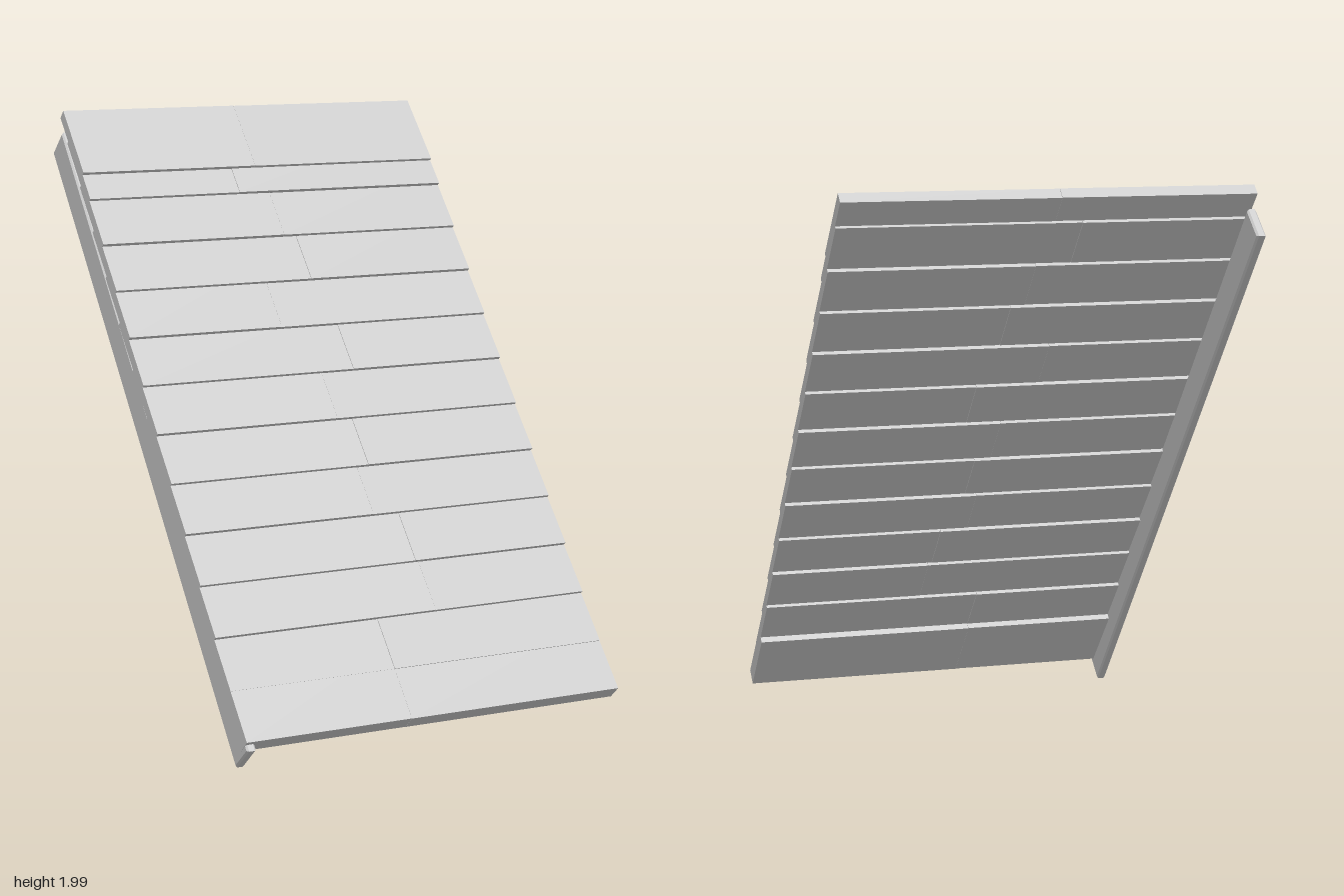
import * as THREE from 'three';

const grey = new THREE.MeshStandardMaterial({ color: 0xcccccc });
grey.name = 'light grey wood';

const LEFT = 0.687, RIGHT = -0.688;
const TILT = THREE.MathUtils.degToRad(47.8);

// One overlapping course: two planks meeting at a butt joint.
// y, z give the upper front edge of the lower end.
function course(index, y, z, joint, length, thickness, tilt = TILT) {
  const group = new THREE.Group();
  group.name = `plankCourse${index}`;
  group.position.set(0, y, z);
  group.rotation.x = -(Math.PI / 2 - tilt);
  [[RIGHT, joint - 0.0005], [joint + 0.0005, LEFT]].forEach(([a, b], side) => {
    const plank = new THREE.Mesh(new THREE.BoxGeometry(b - a, length, thickness), grey);
    plank.name = side ? 'leftPlank' : 'rightPlank';
    plank.position.set((a + b) / 2, length / 2, -thickness / 2 - (side === index % 2 ? 0.001 : 0));
    group.add(plank);
  });
  return group;
}

// Sloping rafter with chamfered edges, under the right-hand edge only
function rafter() {
  const c = 0.006, w = 0.122, l = 2.405, t = 0.032;
  const x = w / 2 - c, y = l / 2 - c;
  const shape = new THREE.Shape([[-x, -y], [x, -y], [x, y], [-x, y]].map(p => new THREE.Vector2(...p)));
  const geometry = new THREE.ExtrudeGeometry(shape, {
    depth: t - 2 * c, bevelEnabled: true, bevelThickness: c, bevelSize: c, bevelSegments: 1,
  });
  geometry.center();
  geometry.rotateY(Math.PI / 2);
  const mesh = new THREE.Mesh(geometry, grey);
  mesh.name = 'rafter';
  mesh.position.set(-0.671, 0.965, 0);
  mesh.rotation.x = -THREE.MathUtils.degToRad(90 - 49.8);
  return mesh;
}

export function createModel() {
  const model = new THREE.Group();
  model.name = 'plankRoofPanel';
  model.add(rafter());

  // Thick starter course at the eave
  model.add(course(1, 0.115, 0.82, -0.1, 0.27, 0.06));

  // Evenly stepped courses
  const joints = [-0.1, 0.115, 0.1, 0.0, 0.04, -0.02, 0.1, -0.12, 0.05, 0.0, -0.12];
  joints.forEach((joint, i) => {
    model.add(course(i + 2, 0.251 + i * 0.146, 0.699 - i * 0.1157, joint, 0.275, 0.04));
  });

  // Closer course along the ridge
  model.add(course(13, 1.797, -0.52, -0.03, 0.277, 0.04, THREE.MathUtils.degToRad(47.2)));
  return model;
}
